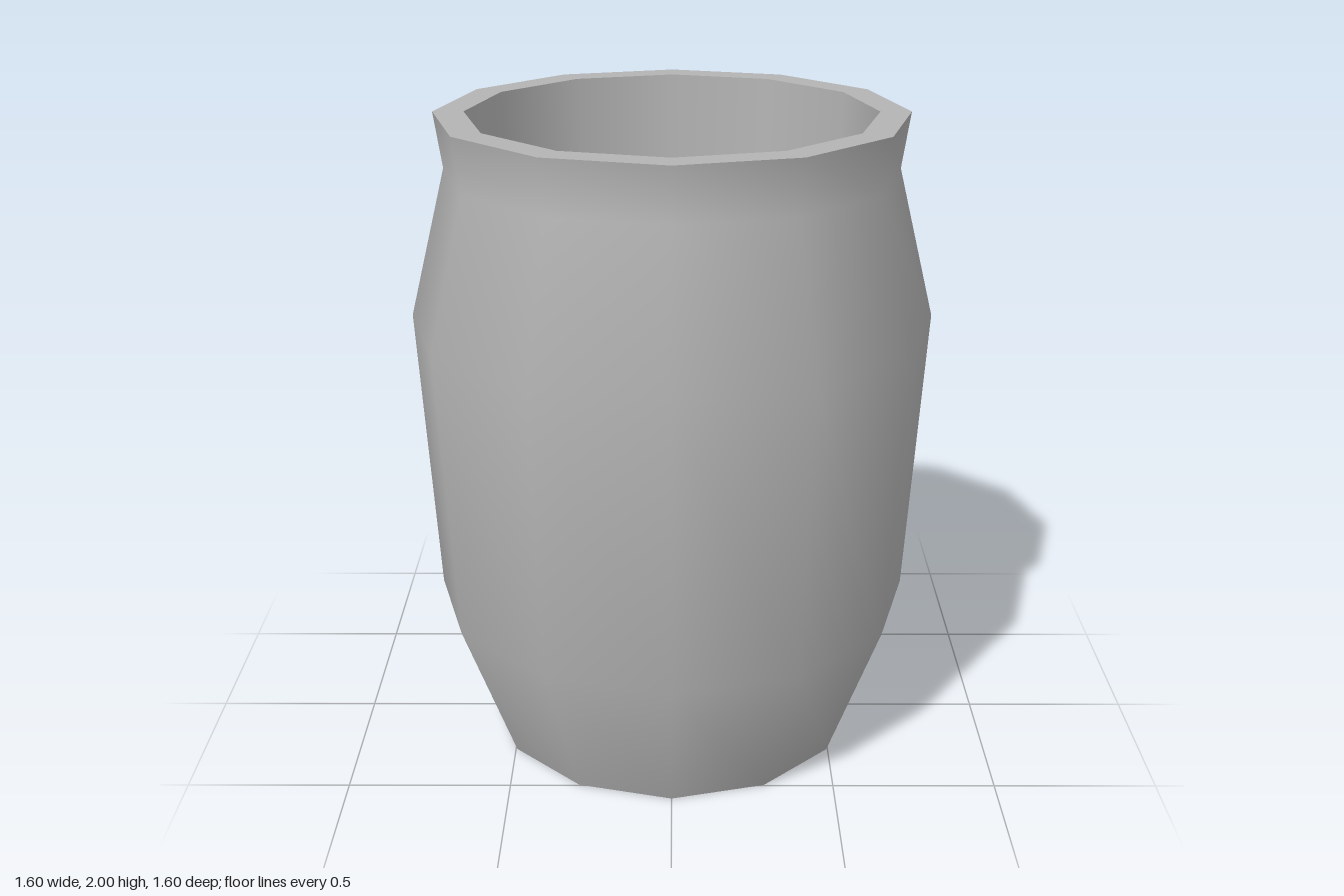
import * as THREE from 'three';

const SIDES = 12;

export function createModel() {
  const group = new THREE.Group();
  const grey = new THREE.MeshStandardMaterial({ color: 0xb4b4b4 });
  grey.name = 'grey';

  const add = (name, geometry, y = 0) => {
    const mesh = new THREE.Mesh(geometry, grey);
    mesh.name = name;
    mesh.position.y = y;
    group.add(mesh);
    return mesh;
  };
  const lathe = (points) =>
    new THREE.LatheGeometry(points.map(([r, y]) => new THREE.Vector2(r, y)), SIDES);

  // Bulging outer wall with a pinched neck
  add('outerWall', lathe([[0.573, 0], [0.745, 0.46], [0.8, 1.37], [0.685, 1.83], [0.71, 2]]));

  // Flat rim and slightly tapered inside; separate lathes keep the edges sharp
  add('rim', lathe([[0.71, 2], [0.617, 2]]));
  add('innerWall', lathe([[0.617, 2], [0.572, 0.1]]));

  // Underside and inside floor
  add('base', new THREE.CircleGeometry(0.573, SIDES).rotateX(Math.PI / 2));
  add('floor', new THREE.CircleGeometry(0.572, SIDES).rotateX(-Math.PI / 2), 0.1);

  // Three eight-sided discs on the floor, the front one resting on the others
  [[-0.17, 0, 0.115], [0.17, 0, 0.115], [0, 0.113, 0.145]].forEach(([x, z, y], i) => {
    const disc = add(`disc${i + 1}`, new THREE.CylinderGeometry(0.136, 0.136, 0.03, 8), y);
    disc.position.x = x;
    disc.position.z = z;
  });

  return group;
}
